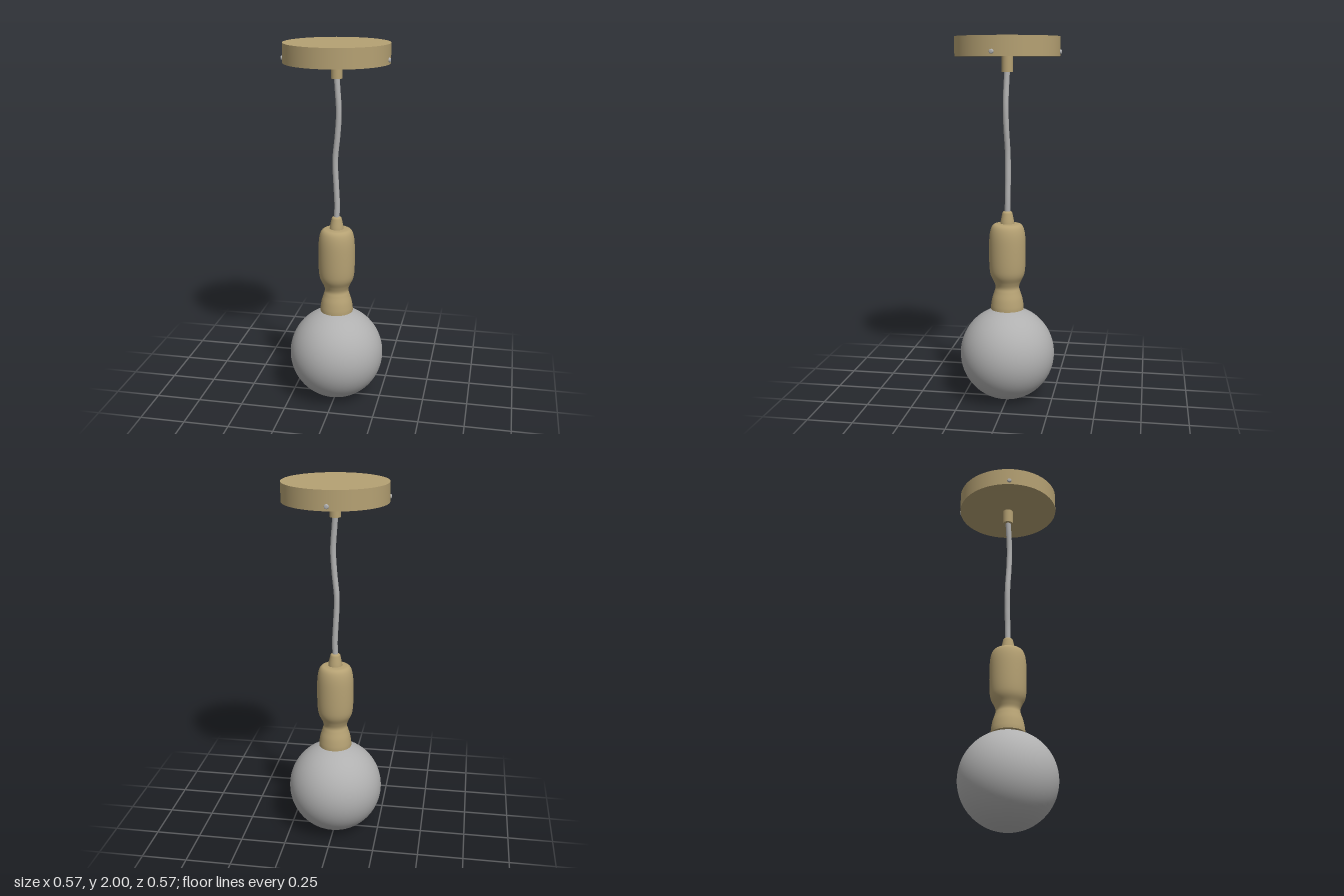
import * as THREE from 'three';

const AXIS_Z = 0.004;

export function createModel() {
  const brass = new THREE.MeshStandardMaterial({ color: 0xb5a173 });
  brass.name = 'brass';
  const grey = new THREE.MeshStandardMaterial({ color: 0xb0b0b0 });
  grey.name = 'grey';

  const model = new THREE.Group();
  model.name = 'pendantLamp';

  const add = (name, geometry, material, x = 0, y = 0, z = AXIS_Z) => {
    const mesh = new THREE.Mesh(geometry, material);
    mesh.name = name;
    mesh.position.set(x, y, z);
    model.add(mesh);
    return mesh;
  };
  // Smooth turned shape from [radius, height] pairs, bottom to top
  const turned = (pairs, divisions) => {
    const curve = new THREE.SplineCurve(pairs.map(([r, y]) => new THREE.Vector2(r, y)));
    const points = curve.getPoints(divisions);
    points.forEach((p) => { p.x = Math.max(p.x, 0); });
    return new THREE.LatheGeometry(points, 48);
  };

  // Ceiling canopy and the short stem below it
  add('canopy', new THREE.CylinderGeometry(0.28, 0.28, 0.103, 96), brass, 0, 1.9485);
  add('canopyStem', new THREE.CylinderGeometry(0.03, 0.03, 0.085, 32), brass, 0, 1.858);

  // Three domed screws around the canopy rim (angle from +x towards +z)
  for (const degrees of [7.5, 170, 270]) {
    const a = THREE.MathUtils.degToRad(degrees);
    const dir = new THREE.Vector3(Math.cos(a), 0, Math.sin(a));
    const head = turned([[0.012, -0.006], [0.012, 0.004], [0.009, 0.009], [0, 0.01]], 12);
    const screw = add('canopyScrew', head, grey, dir.x * 0.279, 1.92, AXIS_Z + dir.z * 0.279);
    screw.quaternion.setFromUnitVectors(new THREE.Vector3(0, 1, 0), dir);
  }

  // Slightly wavy hanging cord
  const cordPath = new THREE.CatmullRomCurve3([
    [0, 1.84, 0.004], [0.004, 1.78, 0.007], [0.013, 1.64, 0.011], [0.006, 1.52, 0.009],
    [-0.008, 1.38, 0.003], [-0.003, 1.24, 0.001], [0.002, 1.14, 0.002], [0, 1.04, 0.004],
  ].map((p) => new THREE.Vector3(...p)));
  add('cord', new THREE.TubeGeometry(cordPath, 64, 0.0155, 16), grey, 0, 0, 0);

  // Tapered cord grip on top of the lamp holder
  add('cordGrip', turned([
    [0.039, 0.99], [0.037, 1.01], [0.03, 1.045], [0.026, 1.06], [0.018, 1.066], [0.008, 1.066],
  ], 24), brass);

  // Turned lamp holder with a narrow waist and flared foot
  add('lampHolder', turned([
    [0.091, 0.517], [0.09, 0.54], [0.083, 0.58], [0.071, 0.618], [0.065, 0.643],
    [0.074, 0.672], [0.092, 0.71], [0.099, 0.755], [0.101, 0.84], [0.099, 0.92],
    [0.091, 0.968], [0.077, 0.992], [0.055, 0.998], [0.02, 0.999],
  ], 80), brass);
  const foot = add('holderFoot', new THREE.CircleGeometry(0.091, 48), brass, 0, 0.517);
  foot.rotation.x = Math.PI / 2;

  // Globe bulb
  add('globe', new THREE.SphereGeometry(0.262, 64, 48), grey, -0.001, 0.262);

  return model;
}
